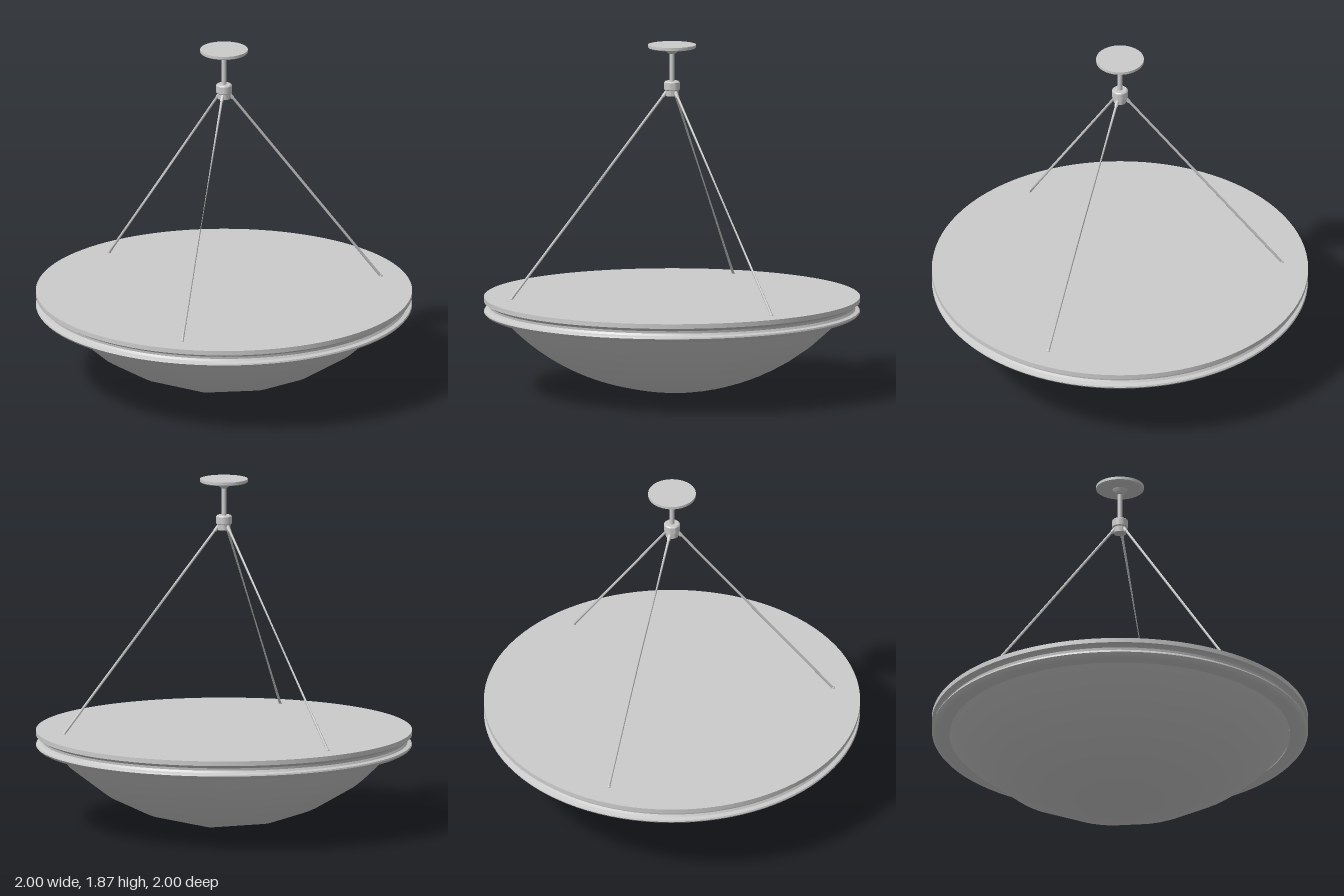
import * as THREE from 'three';
import { toCreasedNormals } from 'three/addons/utils/BufferGeometryUtils.js';

const material = new THREE.MeshStandardMaterial({ color: 0xcccccc, side: THREE.DoubleSide });

function addMesh(parent, name, geometry) {
  const mesh = new THREE.Mesh(geometry, material);
  mesh.name = name;
  parent.add(mesh);
  return mesh;
}

function turned(profile, segments, crease = 0.6) {
  const points = profile.map(([r, y]) => new THREE.Vector2(r, y));
  return toCreasedNormals(new THREE.LatheGeometry(points, segments), crease);
}

// Shallow spherical bowl, straight between a few stations across x, smooth along z
function bowlGeometry() {
  const R = 1.21, base = 0.005, rim = 0.915, rings = 32;
  const stations = [0, 0.29, 0.5, 0.72, 0.915];
  const depth = (x, z) => base + R - Math.sqrt(R * R - x * x - z * z);
  const profile = [];
  for (let i = 0; i <= rings; i++) {
    const r = rim * i / rings;
    profile.push(new THREE.Vector2(r, depth(r, 0)));
  }
  const geometry = new THREE.LatheGeometry(profile, 96);
  const pos = geometry.attributes.position;
  for (let i = 0; i < pos.count; i++) {
    const x = Math.min(Math.abs(pos.getX(i)), 0.9149), z = pos.getZ(i);
    const k = stations.findIndex((s) => s > x) - 1;
    const t = (x - stations[k]) / (stations[k + 1] - stations[k]);
    const y = THREE.MathUtils.lerp(depth(stations[k], z), depth(stations[k + 1], z), t);
    pos.setY(i, Math.min(y, 0.46));
  }
  return geometry;
}

// Thin rod, round at both ends and flattened sideways towards its middle
function rodGeometry(length) {
  const geometry = new THREE.CylinderGeometry(0.007, 0.007, length, 10, 12);
  const pos = geometry.attributes.position;
  for (let i = 0; i < pos.count; i++) {
    const t = Math.abs(pos.getY(i)) / (length / 2);
    pos.setX(i, pos.getX(i) * (0.15 + 0.85 * t));
  }
  geometry.computeVertexNormals();
  return geometry;
}

export function createModel() {
  const model = new THREE.Group();
  model.name = 'pendantBowlLamp';

  addMesh(model, 'bowl', bowlGeometry());

  // Grooved rim closed by a flat lid
  addMesh(model, 'rimAndLid', turned([
    [0.9, 0.43], [0.905, 0.417], [0.975, 0.417], [0.99, 0.424], [1, 0.436], [0.997, 0.444],
    [0.975, 0.45], [0.968, 0.462], [0.97, 0.475], [0.982, 0.486], [1, 0.492], [1, 0.517], [0, 0.517],
  ], 96));

  // Ceiling plate with its small boss
  addMesh(model, 'ceilingPlate', turned([
    [0, 1.82], [0.014, 1.82], [0.026, 1.828], [0.038, 1.846], [0.04, 1.85],
    [0.12, 1.85], [0.127, 1.855], [0.127, 1.87], [0, 1.87],
  ], 48));

  const stem = addMesh(model, 'stem', new THREE.CylinderGeometry(0.013, 0.013, 0.18, 20));
  stem.position.y = 1.745;

  // Hub that gathers the rods
  addMesh(model, 'hub', turned([
    [0, 1.595], [0.034, 1.595], [0.036, 1.625], [0.042, 1.63], [0.042, 1.668], [0.036, 1.674], [0, 1.674],
  ], 32));

  // Three suspension rods with their end fittings
  const bottom = new THREE.Vector3(0, 0.515, 0.865);
  const top = new THREE.Vector3(0, 1.61, 0.036);
  const along = top.clone().sub(bottom);
  for (let i = 0; i < 3; i++) {
    const arm = new THREE.Group();
    arm.name = 'suspension' + (i + 1);
    arm.rotation.y = i * Math.PI * 2 / 3;

    const rod = addMesh(arm, 'rod', rodGeometry(along.length()));
    rod.position.copy(bottom).addScaledVector(along, 0.5);
    rod.rotation.x = Math.atan2(along.z, along.y);

    const foot = addMesh(arm, 'rodFoot', new THREE.SphereGeometry(0.01, 12, 8));
    foot.position.set(0, 0.518, 0.862);

    const lug = addMesh(arm, 'rodSocket', new THREE.CylinderGeometry(0.01, 0.01, 0.04, 12));
    lug.position.set(0, 1.608, 0.036);
    lug.rotation.x = rod.rotation.x;
    model.add(arm);
  }
  return model;
}
